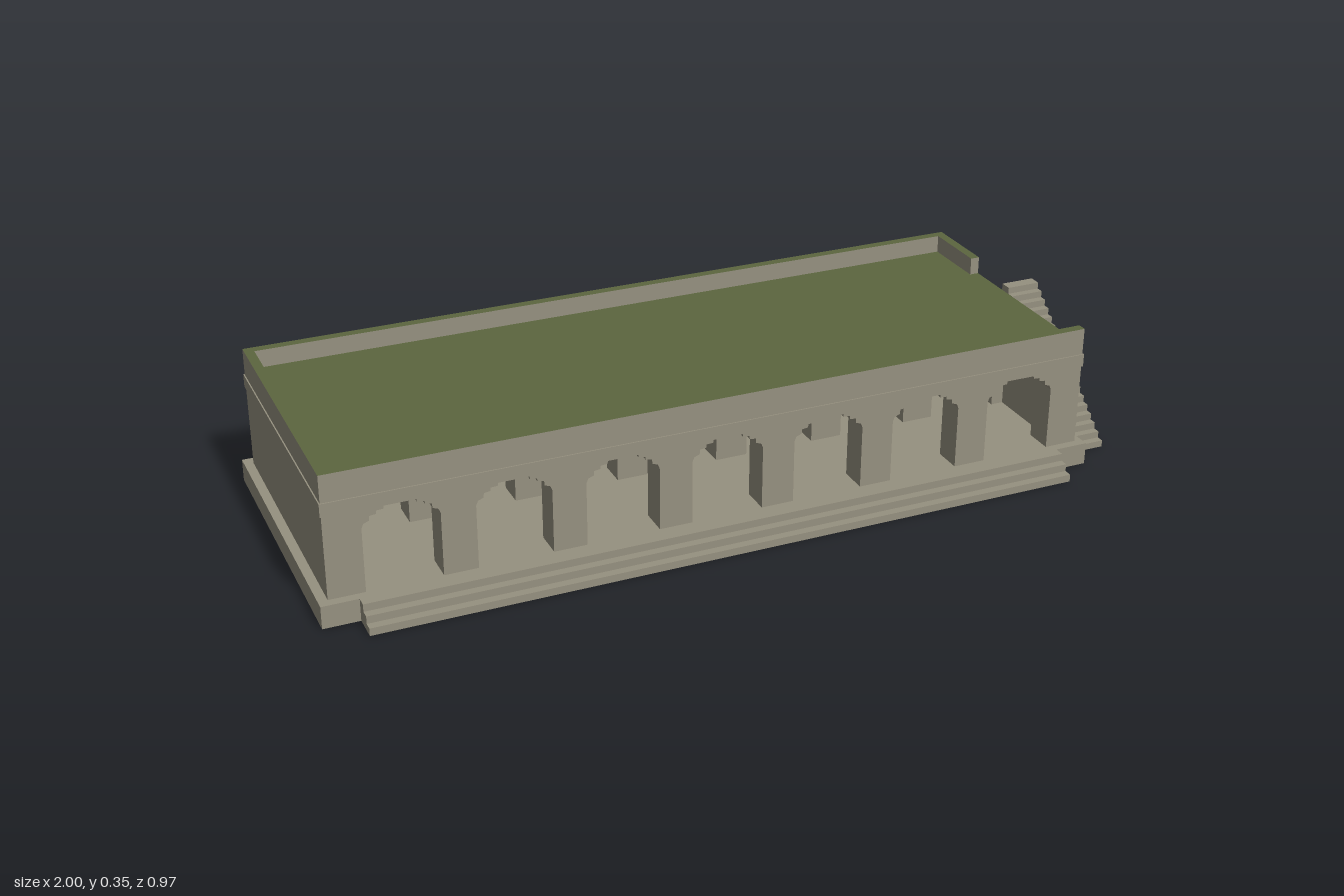
import * as THREE from 'three';

const stone = new THREE.MeshStandardMaterial({ color: 0x969180, side: THREE.DoubleSide });
stone.name = 'stone';
const green = new THREE.MeshStandardMaterial({ color: 0x5c663f });
green.name = 'moss green';
const greenTop = [stone, stone, green, stone, stone, stone];

// Main levels and wall planes
const X0 = -0.978, X1 = 0.891, Z0 = -0.287, Z1 = 0.395;
const BASE = 0.055, CEIL = 0.257, SLAB = 0.289, ROOF = 0.311, TOP = 0.355, RIM = 0.023;
const MID = -0.042;

// Box given by its two extreme corners
function box(name, parent, x0, x1, y0, y1, z0, z1, material = stone) {
  const mesh = new THREE.Mesh(new THREE.BoxGeometry(x1 - x0, y1 - y0, z1 - z0), material);
  mesh.position.set((x0 + x1) / 2, (y0 + y1) / 2, (z0 + z1) / 2);
  mesh.name = name;
  parent.add(mesh);
  return mesh;
}

function extrude(name, parent, shape, depth, z) {
  const geometry = new THREE.ExtrudeGeometry(shape, { depth, bevelEnabled: false });
  const mesh = new THREE.Mesh(geometry, stone);
  mesh.position.z = z;
  mesh.name = name;
  parent.add(mesh);
  return mesh;
}

// Remove the ground face, leaving a hollow shell
function openBottom(mesh) {
  const source = mesh.geometry.index ? mesh.geometry.toNonIndexed() : mesh.geometry;
  source.computeBoundingBox();
  const floor = source.boundingBox.min.y + 1e-4;
  const p = source.attributes.position.array, kept = [];
  for (let i = 0; i < p.length; i += 9) {
    if (Math.max(p[i + 1], p[i + 4], p[i + 7]) > floor) kept.push(...p.slice(i, i + 9));
  }
  mesh.geometry = new THREE.BufferGeometry();
  mesh.geometry.setAttribute('position', new THREE.Float32BufferAttribute(kept, 3));
  mesh.geometry.computeVertexNormals();
}

// Wall with seven stepped arches open to the floor
function arcade(name, parent, z) {
  const half = [[0.0875, BASE], [0.0875, 0.21], [0.083, 0.221], [0.07, 0.226], [0.069, 0.237],
    [0.054, 0.239], [0.053, 0.247], [0.037, 0.248], [0.036, 0.255]];
  const shape = new THREE.Shape();
  shape.moveTo(X0, BASE);
  for (let i = -3; i <= 3; i++) {
    const c = MID + i * 0.2547;
    half.forEach(([x, y]) => shape.lineTo(c - x, y));
    [...half].reverse().forEach(([x, y]) => shape.lineTo(c + x, y));
  }
  shape.lineTo(X1, BASE);
  shape.lineTo(X1, CEIL);
  shape.lineTo(X0, CEIL);
  extrude(name, parent, shape, 0.07, z);
}

// Rear wall layer with four window openings
function rearLayer(name, parent, width, y0, y1, depth, z) {
  const shape = new THREE.Shape();
  shape.moveTo(X0, BASE);
  shape.lineTo(X1, BASE);
  shape.lineTo(X1, CEIL);
  shape.lineTo(X0, CEIL);
  for (let i = 0; i < 4; i++) {
    const c = MID + (i - 1.5) * 0.454, w = width / 2;
    const hole = new THREE.Path();
    hole.moveTo(c - w, y0);
    hole.lineTo(c - w, y1);
    hole.lineTo(c + w, y1);
    hole.lineTo(c + w, y0);
    shape.holes.push(hole);
  }
  extrude(name, parent, shape, depth, z);
}

// Low flight along the front, drawn in profile and turned sideways
function frontSteps(parent) {
  const shape = new THREE.Shape();
  shape.moveTo(-0.483, 0);
  for (let i = 0; i < 3; i++) {
    shape.lineTo(-0.483 + i * 0.0205, (i + 1) * BASE / 3);
    shape.lineTo(i === 2 ? -0.417 : -0.483 + (i + 1) * 0.0205, (i + 1) * BASE / 3);
  }
  shape.lineTo(-0.417, 0);
  const mesh = extrude('frontSteps', parent, shape, 1.74, 0);
  mesh.rotation.y = Math.PI / 2;
  mesh.position.x = -0.914;
  openBottom(mesh);
}

// Hollow flight of side stairs up to the roof
function sideStairs(parent) {
  const steps = 19, zFront = 0.358, zBack = -0.009, run = 0.0187, rise = ROOF / steps;
  const shape = new THREE.Shape();
  shape.moveTo(-zFront, 0);
  for (let i = 0; i < steps; i++) {
    shape.lineTo(-zFront + i * run, (i + 1) * rise);
    shape.lineTo(i === steps - 1 ? -zBack : -zFront + (i + 1) * run, (i + 1) * rise);
  }
  shape.lineTo(-zBack, 0);
  const mesh = extrude('sideStairs', parent, shape, 0.087, 0);
  mesh.rotation.y = Math.PI / 2;
  mesh.position.x = 0.913;
  openBottom(mesh);
}

export function createModel() {
  const model = new THREE.Group();
  model.name = 'arcadedHall';

  // Hollow plinth and front steps
  openBottom(box('plinth', model, -1, 0.91, 0, BASE, -0.313, 0.417));
  frontSteps(model);

  // Walls, with a second arcade inside the hall
  arcade('frontArcade', model, Z1 - 0.07);
  arcade('innerArcade', model, 0.07);
  rearLayer('rearWallOuter', model, 0.062, 0.116, 0.192, 0.035, Z0);
  rearLayer('rearWallInner', model, 0.08, 0.116, 0.201, 0.03, Z0 + 0.035);
  box('leftRoomWall', model, X1 - 0.05, X1, BASE, CEIL, Z0 + 0.065, Z1 - 0.07);
  box('rightRoomWall', model, X0, X0 + 0.05, BASE, CEIL, Z0 + 0.065, Z1 - 0.07);

  // Slightly projecting ceiling slab, roof and parapet, open where the stairs arrive
  box('ceilingSlab', model, X0 - 0.003, X1 + 0.003, CEIL, SLAB, Z0 - 0.003, Z1 + 0.003);
  box('roof', model, X0, X1, SLAB, ROOF, Z0, Z1, greenTop);
  const parapet = new THREE.Group();
  parapet.name = 'parapet';
  model.add(parapet);
  box('frontParapet', parapet, X0, X1, ROOF, TOP, Z1 - RIM, Z1, greenTop);
  box('rearParapet', parapet, X0, X1, ROOF, TOP, Z0, Z0 + RIM, greenTop);
  box('rightParapet', parapet, X0, X0 + RIM, ROOF, TOP, Z0 + RIM, Z1 - RIM, greenTop);
  box('leftParapet', parapet, X1 - RIM, X1, ROOF, TOP, Z0 + RIM, -0.094, greenTop);

  sideStairs(model);

  // Loose blocks behind the building
  const rubble = new THREE.Group();
  rubble.name = 'rubble';
  model.add(rubble);
  box('mossyBlock', rubble, 0.7, 0.77, 0, 0.035, -0.43, -0.387, green);
  box('stoneBlock', rubble, 0.77, 0.815, 0, 0.026, -0.425, -0.392);
  box('smallMossyBlock', rubble, 0.79, 0.86, 0, 0.029, -0.434, -0.411, green);
  box('lowStoneBlock', rubble, 0.738, 0.785, 0, 0.02, -0.483, -0.43);
  return model;
}
